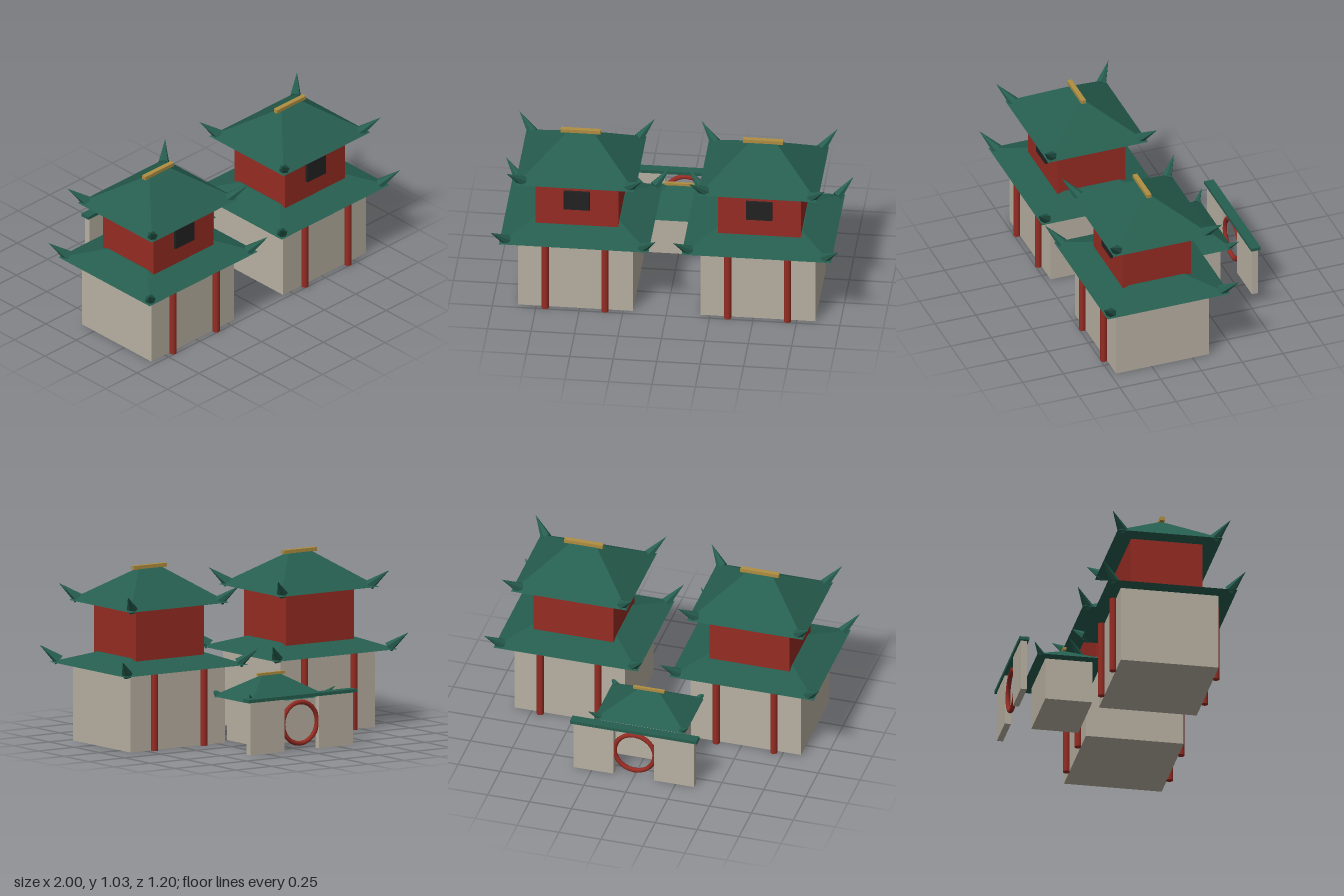
import * as THREE from 'three';

const flat = (name, color) => {
  const m = new THREE.MeshStandardMaterial({ color });
  m.name = name;
  return m;
};

export function createModel() {
  const plaster = flat('plaster', 0xb8b0a2);
  const red = flat('redLacquer', 0x962c23);
  const green = flat('greenTile', 0x265e4f);
  const gold = flat('goldRidge', 0xb08e42);
  const dark = flat('darkWindow', 0x222222);

  const add = (parent, name, geometry, material, x = 0, y = 0, z = 0) => {
    const mesh = new THREE.Mesh(geometry, material);
    mesh.name = name;
    mesh.position.set(x, y, z);
    parent.add(mesh);
    return mesh;
  };

  // Box standing on height y
  const block = (parent, name, w, h, d, material, x, y, z) =>
    add(parent, name, new THREE.BoxGeometry(w, h, d), material, x, y + h / 2, z);

  // Hipped roof: a box whose upper corners are drawn in to the ridge
  const hipRoof = (hx, hz, h, topX, topZ) => {
    const g = new THREE.BoxGeometry(2 * hx, h, 2 * hz).toNonIndexed();
    const p = g.attributes.position;
    for (let i = 0; i < p.count; i++) {
      if (p.getY(i) > 0) {
        p.setX(i, Math.sign(p.getX(i)) * topX);
        p.setZ(i, Math.sign(p.getZ(i)) * topZ);
      }
    }
    g.computeVertexNormals();
    return g;
  };

  // Roof with an upturned horn at each eave corner
  const roof = (parent, name, hx, hz, y, h, topX, topZ, s) => {
    const group = new THREE.Group();
    group.name = name;
    group.position.y = y;
    parent.add(group);
    add(group, 'roofSlopes', hipRoof(hx, hz, h, topX, topZ), green, 0, h / 2, 0);
    for (const sx of [-1, 1]) for (const sz of [-1, 1]) {
      const base = new THREE.Vector3(sx * (hx - 0.04 * s), 0.01 * s, sz * (hz - 0.038 * s));
      const tip = new THREE.Vector3(sx * (hx + 0.045 * s), 0.098 * s, sz * (hz + 0.039 * s));
      const axis = tip.clone().sub(base);
      const cone = new THREE.ConeGeometry(0.032 * s, axis.length(), 6).toNonIndexed();
      cone.computeVertexNormals();
      const horn = add(group, 'eaveHorn', cone, green);
      horn.position.copy(base).addScaledVector(axis, 0.5);
      horn.quaternion.setFromUnitVectors(new THREE.Vector3(0, 1, 0), axis.normalize());
    }
  };

  const model = new THREE.Group();
  model.name = 'templeGate';

  // Twin towers
  for (const side of [-1, 1]) {
    const tower = new THREE.Group();
    tower.name = side > 0 ? 'leftTower' : 'rightTower';
    tower.position.set(side * 0.525, 0, 0.183);
    model.add(tower);

    block(tower, 'lowerStorey', 0.66, 0.46, 0.57, plaster, 0, 0, 0);
    for (const sx of [-1, 1]) for (const sz of [-1, 1]) {
      add(tower, 'column', new THREE.CylinderGeometry(0.021, 0.021, 0.455, 10), red,
        sx * 0.172, 0.2275, sz * 0.3);
    }
    roof(tower, 'lowerRoof', 0.43, 0.375, 0.453, 0.07, 0.245, 0.165, 1);
    block(tower, 'upperStorey', 0.477, 0.32, 0.415, red, 0, 0.495, 0);
    block(tower, 'window', 0.15, 0.12, 0.02, dark, 0, 0.617, 0.211);
    roof(tower, 'upperRoof', 0.345, 0.305, 0.812, 0.195, 0.08, 0.012, 1);
    block(tower, 'ridgeBeam', 0.23, 0.022, 0.028, gold, 0, 1.004, 0);
  }

  // Small hall between and behind the towers
  const hall = new THREE.Group();
  hall.name = 'rearHall';
  hall.position.z = -0.28;
  model.add(hall);
  block(hall, 'hallBody', 0.42, 0.256, 0.274, plaster, 0, 0.022, 0);
  roof(hall, 'hallRoof', 0.272, 0.193, 0.275, 0.125, 0.064, 0.007, 0.63);
  block(hall, 'hallRidge', 0.186, 0.016, 0.017, gold, 0, 0.398, 0);

  // Back wall with its round moon gate
  const wall = new THREE.Group();
  wall.name = 'gardenWall';
  wall.position.z = -0.571;
  model.add(wall);
  for (const side of [-1, 1]) {
    block(wall, 'wallPanel', 0.24, 0.305, 0.036, plaster, side * 0.24, 0, 0);
  }
  block(wall, 'wallCap', 0.756, 0.019, 0.057, green, 0, 0.304, 0);
  add(wall, 'moonGateRing', new THREE.TorusGeometry(0.12, 0.014, 8, 24), red, 0, 0.157, 0);

  return model;
}
